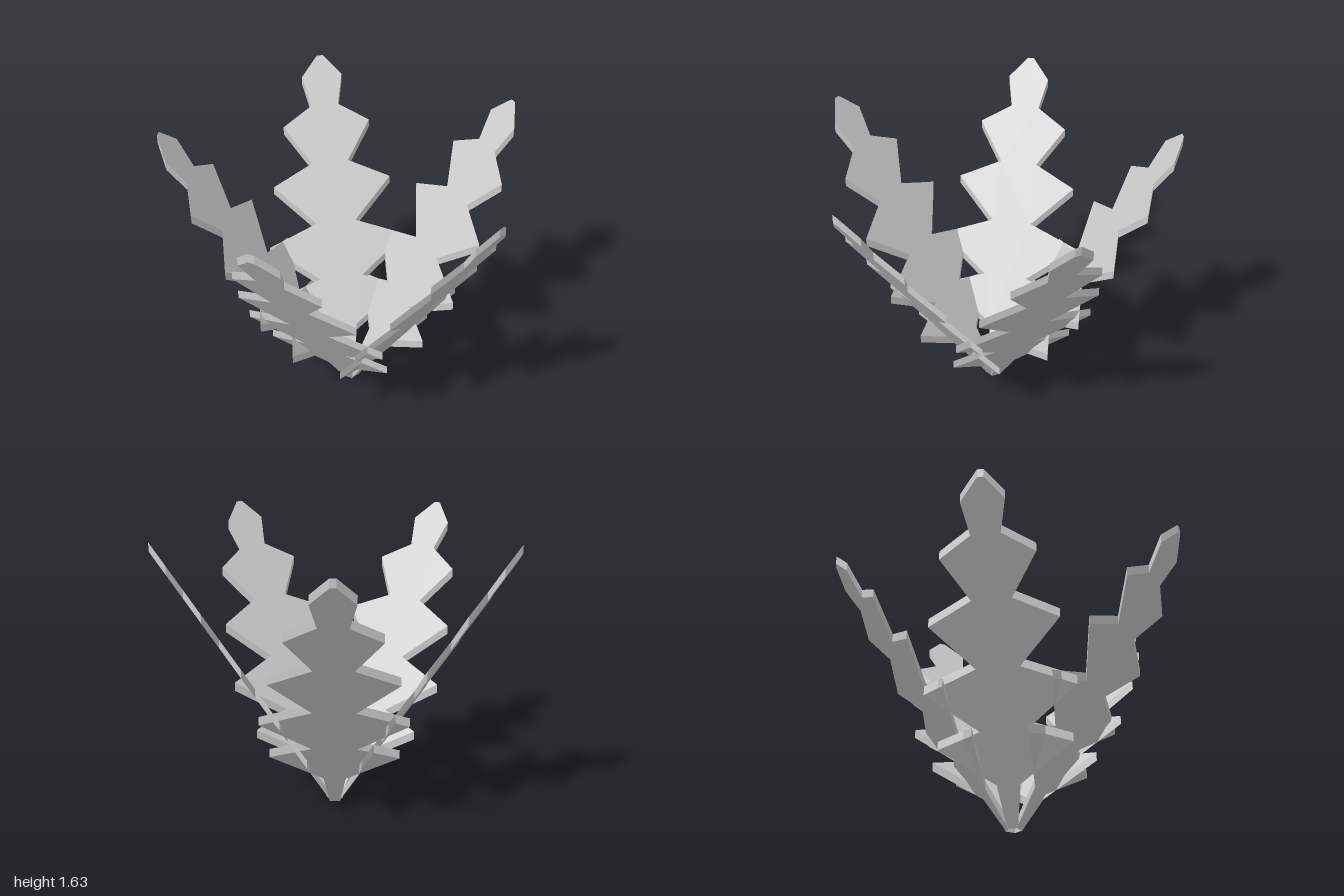
import * as THREE from 'three';

// Half outline of one lobed leaf: [distance from the plant's axis, half width]
const OUTLINE = [
  [0.035, 0.03], [0.165, 0.065],
  [0.28, 0.37], [0.325, 0.13],   // lowest lobe
  [0.445, 0.416], [0.508, 0.12], // widest lobe
  [0.64, 0.355], [0.705, 0.11],
  [0.83, 0.26], [0.89, 0.082],   // top lobe and neck
  [0.985, 0.12], [1.05, 0.018],  // tip
];
const THICKNESS = 0.05;
const SLOPE = 1.56;
const LEAVES = 5;

function leafGeometry() {
  const mirrored = OUTLINE.map(([r, w]) => [r, -w]).reverse();
  const points = [...mirrored, ...OUTLINE].map(([r, w]) => new THREE.Vector2(r, w));
  const geometry = new THREE.ExtrudeGeometry(new THREE.Shape(points), {
    depth: THICKNESS, bevelEnabled: false,
  });
  // Lay the leaf flat, then shear it upwards along its length
  geometry.rotateX(-Math.PI / 2);
  const p = geometry.attributes.position;
  for (let i = 0; i < p.count; i++) {
    p.setY(i, p.getY(i) + SLOPE * (p.getX(i) - OUTLINE[0][0]));
  }
  geometry.computeVertexNormals();
  return geometry;
}

export function createModel() {
  const plant = new THREE.Group();
  plant.name = 'plant';
  const geometry = leafGeometry();
  const material = new THREE.MeshStandardMaterial({ color: 0xcccccc, flatShading: true });

  // Five leaves spread around the axis
  for (let i = 0; i < LEAVES; i++) {
    const leaf = new THREE.Mesh(geometry, material);
    leaf.name = `leaf${i + 1}`;
    leaf.rotation.y = (i / LEAVES) * Math.PI * 2;
    plant.add(leaf);
  }
  plant.position.x = -0.095;

  const model = new THREE.Group();
  model.name = 'leafyPlant';
  model.add(plant);
  return model;
}
